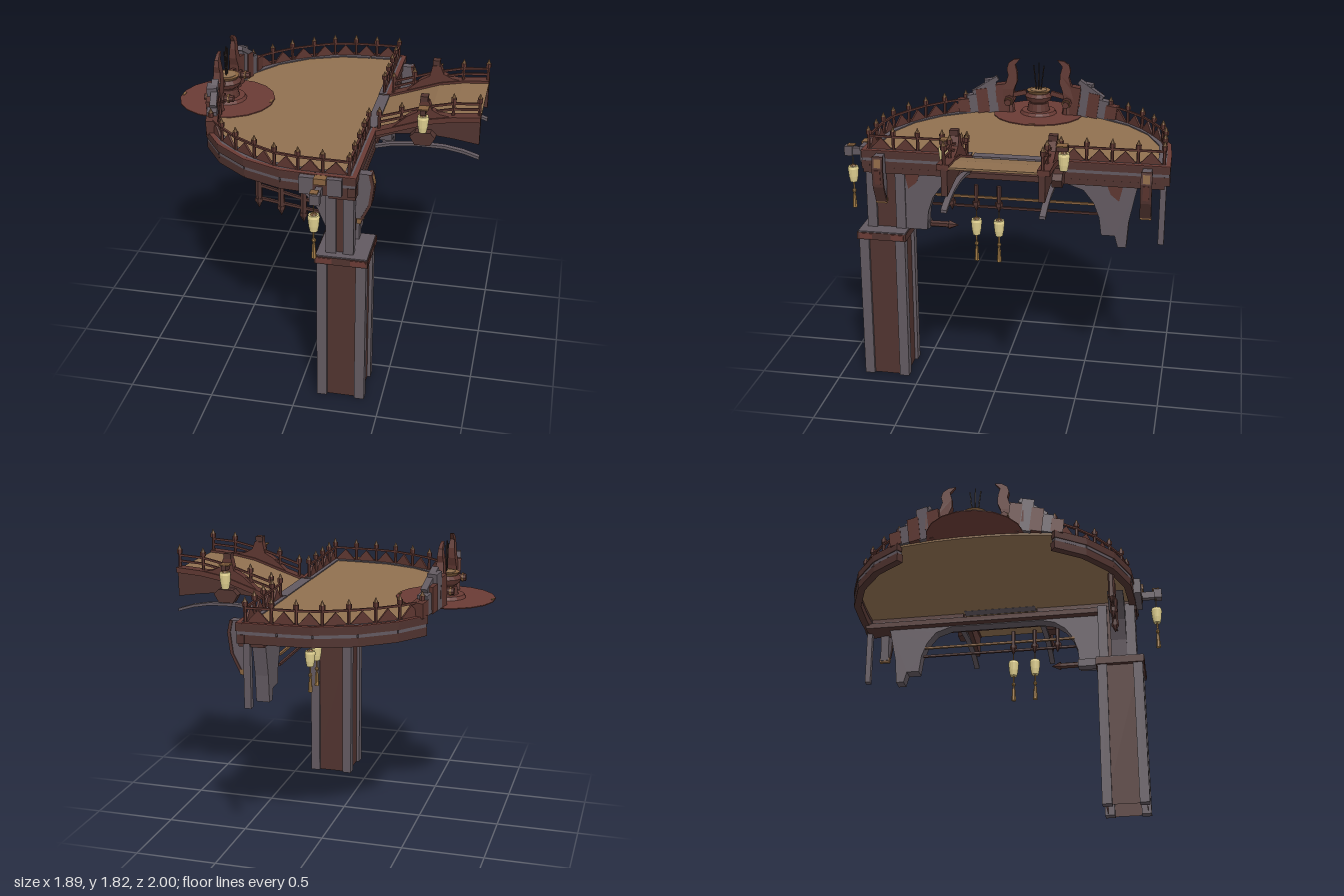
import * as THREE from 'three';

const mat = (name, color, side = THREE.FrontSide) => {
  const m = new THREE.MeshStandardMaterial({ color, flatShading: true, side });
  m.name = name;
  return m;
};
const wood = mat('deck wood', 0x907050);
const maroon = mat('maroon timber', 0x6a3b35);
const red = mat('red timber', 0x5d3630);
const dark = mat('dark timber', 0x50332f, THREE.DoubleSide);
const gray = mat('gray timber', 0x625960);
const copper = mat('aged copper', 0x87623f);
const cream = mat('lantern paper', 0xe2d291);
const tan = mat('tassel', 0xa07a45);
const black = mat('incense', 0x2e2422);

const CZ = -0.08; // mirror plane of deck and bridge
const V = (x, y, z) => new THREE.Vector3(x, y, z);

export function createModel() {
  const root = new THREE.Group();
  const add = (name, geo, m, parent = root) => {
    const mesh = new THREE.Mesh(geo, m);
    mesh.name = name;
    parent.add(mesh);
    return mesh;
  };
  // box from minimum to maximum corner
  const box = (name, m, x0, x1, y0, y1, z0, z1) =>
    add(name, new THREE.BoxGeometry(x1 - x0, y1 - y0, z1 - z0)
      .translate((x0 + x1) / 2, (y0 + y1) / 2, (z0 + z1) / 2), m);
  // straight bar between two points
  const bar = (name, m, a, b, w, h, extra = 0) => {
    const mesh = add(name, new THREE.BoxGeometry(w, h, a.distanceTo(b) + extra), m);
    mesh.position.copy(a).lerp(b, 0.5);
    mesh.lookAt(b);
    return mesh;
  };
  const cyl = (name, m, x, y0, y1, z, rb, rt, n = 8) =>
    add(name, new THREE.CylinderGeometry(rt, rb, y1 - y0, n).translate(x, (y0 + y1) / 2, z), m);
  const extrude = (pts, depth) => new THREE.ExtrudeGeometry(
    new THREE.Shape(pts.map(p => new THREE.Vector2(...p))), { depth, bevelEnabled: false });
  // profile in x,y swept along z
  const sideXY = (name, m, pts, z0, z1) => add(name, extrude(pts, z1 - z0).translate(0, 0, z0), m);
  // profile in z,y swept along x
  const sideZY = (name, m, pts, x0, x1) =>
    add(name, extrude(pts, x1 - x0).rotateY(-Math.PI / 2).translate(x1, 0, 0), m);

  // ---- main pillar and its upper column: hollow core with corner posts ----
  const column = (name, x0, x1, y0, y1, z0, z1, c) => {
    add(name + 'Core', new THREE.CylinderGeometry(Math.SQRT1_2, Math.SQRT1_2, 1, 4, 1, true)
      .rotateY(Math.PI / 4).scale(x1 - x0 - 0.04, y1 - y0, z1 - z0 - 0.04)
      .translate((x0 + x1) / 2, (y0 + y1) / 2, (z0 + z1) / 2), dark);
    for (const x of [x0, x1 - c]) for (const z of [z0, z1 - c])
      box(name + 'Corner', gray, x, x + c, y0, y1, z, z + c);
  };
  column('pillar', 0.115, 0.4, 0, 0.92, 0.57, 0.855, 0.06);
  box('pillarCap', dark, 0.105, 0.41, 0.92, 0.965, 0.56, 0.865);
  box('pillarCapTop', gray, 0.11, 0.405, 0.965, 0.972, 0.565, 0.86);
  for (const x of [0.115, 0.31]) box('capPatch', maroon, x, x + 0.09, 0.928, 0.96, 0.862, 0.868);
  for (const z of [0.575, 0.77]) box('capPatch', maroon, 0.407, 0.413, 0.928, 0.96, z, z + 0.08);
  column('upperColumn', 0.16, 0.32, 0.97, 1.36, 0.58, 0.82, 0.06);

  // ---- arch under the straight edge ----
  sideZY('archFrame', gray, [[0.6, 0.97], [0.45, 0.97], [0.44, 1.09], [0.41, 1.18], [0.36, 1.25], [0.29, 1.3],
    [0.2, 1.32], [-0.4, 1.32], [-0.5, 1.285], [-0.56, 1.21], [-0.595, 1.12], [-0.61, 1.01], [-0.69, 1.01],
    [-0.71, 0.94], [-0.76, 0.94], [-0.77, 1.1], [-0.81, 1.3], [-0.82, 1.34], [0.6, 1.34]], 0.23, 0.31);
  box('archBeam', dark, 0.18, 0.33, 1.325, 1.36, -0.97, 0.83);
  for (const [z, s] of [[0.58, -1], [-0.73, 1]])
    sideZY('archPatch', red, [[z, 1.32], [z + s * 0.09, 1.32], [z + s * 0.07, 1.27], [z + s * 0.02, 1.23]], 0.308, 0.315);
  sideXY('frontSpandrel', gray, [[-0.05, 1.35], [0.03, 1.3], [0.1, 1.22], [0.15, 1.1], [0.17, 0.97],
    [0.2, 0.97], [0.2, 1.35]], 0.66, 0.76);
  box('farPost', gray, 0.26, 0.3, 0.97, 1.36, -0.98, -0.945);

  // ---- curved outer brackets: gray web, dark outer skin, copper plates ----
  for (const z of [0.72, -0.87]) {
    const curve = [[0.4, 1.45], [0.415, 1.38], [0.4, 1.26], [0.345, 1.15]];
    sideXY('hornBracket', gray, [[0.3, 1.45], ...curve, [0.32, 1.15], [0.31, 1.3]], z - 0.027, z + 0.027);
    sideXY('bracketSkin', dark, [...curve.map(([x, y]) => [x - 0.012, y]),
      ...curve.map(([x, y]) => [x + 0.006, y]).reverse()], z - 0.033, z + 0.033);
    bar('bracketPlate', copper, V(0.4065, 1.435, z), V(0.418, 1.385, z), 0.04, 0.006);
    bar('bracketPlate', red, V(0.4195, 1.37, z), V(0.408, 1.28, z), 0.035, 0.008);
    box('bracketTip', copper, 0.325, 0.35, 1.14, 1.17, z - 0.034, z + 0.034);
  }

  // ---- deck ----
  const half = [[0.33, 0.92], [0.1, 0.915], [-0.1, 0.9], [-0.33, 0.81], [-0.52, 0.66], [-0.645, 0.48]];
  const inner = [...half.map(([x, u]) => [x * 0.96 - 0.005, u * 0.96]), [-0.655, 0.25], [-0.665, 0.1]];
  const outline = [...inner.map(([x, u]) => [x, CZ + u]), ...inner.slice().reverse().map(([x, u]) => [x, CZ - u])];
  add('deck', extrude(outline, 0.012).rotateX(Math.PI / 2).translate(0, 1.458, 0), wood);
  box('deckEdgeStrip', gray, 0.262, 0.33, 1.445, 1.464, CZ - 0.24, CZ + 0.24);

  // ---- railings ----
  const post = p => {
    cyl('railPost', red, p.x, p.y - 0.01, p.y + 0.1, p.z, 0.01, 0.01, 6);
    cyl('postCollar', red, p.x, p.y + 0.09, p.y + 0.115, p.z, 0.017, 0.017, 6);
    cyl('postFinial', copper, p.x, p.y + 0.115, p.y + 0.142, p.z, 0.013, 0.002, 6);
  };
  const railing = (pts, teeth) => pts.forEach((p, i) => {
    post(p);
    if (!i) return;
    const a = pts[i - 1], L = a.distanceTo(p);
    const rail = h => bar('rail', red, V(a.x, a.y + h, a.z), V(p.x, p.y + h, p.z), 0.014, 0.012);
    rail(0.08);
    if (!teeth) return rail(0.045);
    const t = add('railTooth', extrude([[-L * 0.45, 0], [L * 0.45, 0], [0, 0.072]], 0.012).translate(0, 0, -0.006), red);
    t.position.copy(a).lerp(p, 0.5);
    t.rotation.y = -Math.atan2(p.z - a.z, p.x - a.x);
  });
  // stacked fascia along an edge
  const fascia = (a, b) => {
    const dir = V(b[0] - a[0], 0, b[1] - a[1]).normalize();
    const n = V(-dir.z, 0, dir.x);
    if (n.dot(V(-0.1 - (a[0] + b[0]) / 2, 0, CZ - (a[1] + b[1]) / 2)) < 0) n.negate();
    const at = (p, y, d) => V(p[0], y, p[1]).addScaledVector(n, d);
    for (const [m, y, h, d, w] of [[dark, 1.441, 0.044, 0.02, 0.04], [maroon, 1.464, 0.006, 0.013, 0.026],
      [gray, 1.409, 0.02, 0.025, 0.04], [dark, 1.374, 0.052, 0.028, 0.045], [gray, 1.457, 0.016, 0.045, 0.06]])
      bar('edgeFascia', m, at(a, y, d), at(b, y, d), w, h, m === gray ? -0.01 : 0);
  };
  const railPts = [[0.29, 0.88], [0.14, 0.875], [0, 0.87], [-0.14, 0.845], [-0.27, 0.78], [-0.4, 0.7], [-0.51, 0.6], [-0.61, 0.48]];
  for (const s of [1, -1]) {
    const edge = half.map(([x, u]) => [x, CZ + s * u]);
    for (let i = 1; i < edge.length; i++) fascia(edge[i - 1], edge[i]);
    fascia([0.335, CZ + s * 0.92], [0.335, CZ + s * 0.25]);
    railing(railPts.map(([x, u]) => V(x, 1.463, CZ + s * u)), true);
    railing([0.28, 0.43, 0.58, 0.73, 0.88].map(u => V(0.29, 1.463, CZ + s * u)), true);
  }

  // ---- lantern with cap and optional tassel ----
  const lantern = (x, top, z, tassel) => {
    const g = new THREE.Group();
    g.name = 'lantern';
    add('lanternBody', new THREE.LatheGeometry([[0, -0.105], [0.022, -0.105], [0.029, -0.07], [0.034, -0.02],
      [0.03, -0.004], [0, -0.004]].map(p => new THREE.Vector2(...p)), 16), cream, g);
    add('lanternCap', new THREE.CylinderGeometry(0.012, 0.022, 0.012, 8), copper, g);
    if (tassel) {
      add('cord', new THREE.CylinderGeometry(0.006, 0.006, 0.09, 5).translate(0, -0.15, 0), tan, g);
      add('knot', new THREE.SphereGeometry(0.014, 6, 4).translate(0, -0.165, 0), tan, g);
      add('tasselSkirt', new THREE.CylinderGeometry(0.009, 0.015, 0.09, 6).translate(0, -0.232, 0), tan, g);
    }
    g.position.set(x, top, z);
    root.add(g);
  };
  box('frontBracketPlate', gray, 0.02, 0.26, 1.36, 1.462, 0.8, 0.87);
  box('frontBracketInset', dark, 0.1, 0.18, 1.365, 1.455, 0.865, 0.875);
  box('frontBracketKnob', copper, 0.105, 0.175, 1.43, 1.466, 0.83, 0.885);
  box('lanternArm', gray, 0.12, 0.155, 1.37, 1.415, 0.86, 0.99);
  box('lanternArmTip', gray, 0.11, 0.165, 1.365, 1.425, 0.95, 1);
  box('armTipPlate', copper, 0.105, 0.15, 1.424, 1.43, 0.94, 0.985);
  cyl('lanternCord', tan, 0.125, 1.29, 1.37, 0.96, 0.003, 0.003, 4);
  lantern(0.125, 1.292, 0.96, true);
  for (const z of [0.16, 0.02]) {
    lantern(0.23, 1.035, z, true);
    cyl('lanternCord', tan, 0.23, 1.03, 1.1, z, 0.003, 0.003, 4);
  }

  // ---- hanging spikes and tie bars ----
  const spike = (x, z, tip, top, r) => {
    cyl('hangingSpike', dark, x, tip + 0.06, top, z, r, r, 6);
    cyl('spikeCollar', dark, x, tip + 0.045, tip + 0.065, z, 0.024, 0.024, 6);
    cyl('spikeTip', dark, x, tip, tip + 0.045, z, 0.001, 0.022, 6);
  };
  [[-0.25, 1.15], [-0.12, 1.115], [0.01, 1.085]].forEach(([x, y]) => spike(x, 0.7, y, 1.36, 0.02));
  bar('slantTie', dark, V(-0.26, 1.3, 0.7), V(0.16, 1.2, 0.7), 0.016, 0.016);
  bar('slantTie', dark, V(-0.26, 1.215, 0.7), V(0.16, 1.155, 0.7), 0.016, 0.016);
  [0.31, 0.16, 0.02].forEach(z => spike(0.23, z, 1.08, 1.25, 0.014));
  box('archTie', copper, 0.222, 0.238, 1.167, 1.18, -0.57, 0.42);
  box('archTie', dark, 0.222, 0.238, 1.107, 1.12, -0.58, 0.43);
  box('sideStub', gray, 0.22, 0.28, 0.965, 1.015, 0.44, 0.57);
  const tip = add('sideSpike', new THREE.CylinderGeometry(0.02, 0.02, 0.12, 6).rotateX(Math.PI / 2), dark);
  tip.position.set(0.25, 0.99, 0.385);
  const point = add('sideSpikePoint', new THREE.ConeGeometry(0.03, 0.06, 6).rotateX(-Math.PI / 2), dark);
  point.position.set(0.25, 0.99, 0.295);

  // ---- rising bridge ----
  const rise = [[0.33, 1.455], [0.48, 1.505], [0.64, 1.56], [0.78, 1.585], [0.94, 1.597]];
  sideXY('bridgeDeck', wood, [...rise, ...rise.map(([x, y]) => [x, y - 0.012]).reverse()], CZ - 0.24, CZ + 0.24);
  for (const s of [1, -1]) {
    const band = (a, b) => [CZ + s * a, CZ + s * b].sort((p, q) => p - q);
    sideXY('bridgeSide', dark, [[0.33, 1.41], [0.45, 1.455], [0.62, 1.47], [0.78, 1.455], [0.94, 1.43],
      [0.94, 1.59], [0.78, 1.575], [0.64, 1.55], [0.48, 1.495], [0.33, 1.45]], ...band(0.25, 0.285));
    sideXY('bridgeRim', red, [...rise.map(([x, y]) => [x, y - 0.018]),
      ...rise.map(([x, y]) => [x, y + 0.014]).reverse()], ...band(0.24, 0.31));
    railing([[0.35, 1.468], [0.48, 1.51], [0.61, 1.553], [0.78, 1.59], [0.93, 1.6]]
      .map(([x, y]) => V(x, y, CZ + s * 0.27)), false);
    sideXY('bridgeCrest', red, [[0.43, 1.5], [0.52, 1.58], [0.575, 1.61], [0.59, 1.68], [0.64, 1.68],
      [0.66, 1.63], [0.71, 1.605], [0.81, 1.59], [0.64, 1.54]], ...band(0.25, 0.3));
    box('crestCap', dark, 0.59, 0.635, 1.68, 1.712, ...band(0.255, 0.305));
    box('crestArm', dark, 0.6, 0.63, 1.62, 1.65, ...band(0.28, 0.365));
    box('crestArmPlate', copper, 0.585, 0.645, 1.648, 1.655, ...band(0.3, 0.36));
    sideXY('lanternShelf', dark, [[0.54, 1.47], [0.57, 1.42], [0.66, 1.42], [0.69, 1.47], [0.66, 1.5],
      [0.57, 1.5]], ...band(0.28, 0.34));
    lantern(0.615, 1.612, CZ + s * 0.34, false);
    // thin bowed brace under the bridge
    const bow = [[0.33, 1.35], [0.42, 1.372], [0.58, 1.388], [0.74, 1.385], [0.85, 1.365], [0.945, 1.335]];
    sideXY('bowBrace', gray, [...bow, ...bow.map(([x, y]) => [x, y + 0.017]).reverse()], ...band(0.255, 0.29));
  }

  // ---- round shrine terrace with incense bowl ----
  const SX = -0.65;
  cyl('shrineDisc', maroon, SX, 1.459, 1.465, CZ, 0.295, 0.295, 18);
  for (const d of [-0.28, 0.28])
    box('discInlay', copper, SX + d - 0.008, SX + d + 0.008, 1.463, 1.468, CZ - 0.02, CZ + 0.02);
  cyl('shrineStep', maroon, SX, 1.465, 1.485, CZ, 0.12, 0.11, 16);
  cyl('shrinePlinth', red, SX, 1.485, 1.535, CZ, 0.075, 0.065, 16);
  add('incenseBowl', new THREE.LatheGeometry([[0, 1.53], [0.045, 1.53], [0.08, 1.555], [0.09, 1.58],
    [0.07, 1.6], [0, 1.6]].map(p => new THREE.Vector2(...p)), 16).translate(SX, 0, CZ), red);
  cyl('bowlRim', copper, SX, 1.6, 1.618, CZ, 0.065, 0.078, 16);
  cyl('bowlAsh', wood, SX, 1.61, 1.621, CZ, 0.055, 0.055, 16);
  for (const d of [-1, 0, 1])
    bar('incenseStick', black, V(SX, 1.61, CZ + d * 0.014), V(SX, d ? 1.78 : 1.8, CZ + d * 0.034), 0.007, 0.007);

  // ---- curling horned guardians either side of the shrine ----
  for (const s of [1, -1]) {
    const Z = u => CZ + s * u;
    const horn = sideZY('curvedHorn', red, [[0.122, 1.82], [0.165, 1.815], [0.2, 1.79], [0.21, 1.75], [0.2, 1.71],
      [0.215, 1.66], [0.25, 1.62], [0.3, 1.6], [0.3, 1.52], [0.17, 1.54], [0.16, 1.62], [0.14, 1.67], [0.142, 1.73], [0.155, 1.78]]
      .map(([u, y]) => [Z(u), y]), -0.03, 0.03);
    // taper the horn towards its tip
    const hp = horn.geometry.attributes.position;
    for (let i = 0; i < hp.count; i++) hp.setX(i, SX + hp.getX(i) * (1 - Math.max(0, hp.getY(i) - 1.6) * 3.2));
    const body = [[-0.655, 0.24, 0.19], [-0.645, 0.31, 0.22], [-0.63, 0.37, 0.16], [-0.615, 0.43, 0.12], [-0.6, 0.49, 0.09]];
    body.forEach(([x, u, h], i) => {
      const seg = add('guardianBody', new THREE.BoxGeometry(0.07 - (i % 2) * 0.01, h, 0.075), i % 2 ? gray : red);
      seg.position.set(x, 1.46 + h / 2, Z(u));
      seg.rotation.set(s * 0.12, s * 0.2, 0);
    });
    bar('guardianCrest', gray, V(-0.64, 1.69, Z(0.27)), V(-0.61, 1.59, Z(0.43)), 0.04, 0.03);
    bar('guardianFin', red, V(-0.65, 1.6, Z(0.08)), V(-0.65, 1.56, Z(0.24)), 0.025, 0.03);
    // horizontal cross arm with copper bands
    for (const [part, m, r, x0, x1] of [['crossArm', red, 0.022, -0.735, -0.555],
      ['crossHub', red, 0.034, -0.69, -0.61], ['crossBand', copper, 0.028, -0.72, -0.71], ['crossBand', copper, 0.028, -0.59, -0.58]])
      add(part, new THREE.CylinderGeometry(r, r, x1 - x0, 8).rotateZ(Math.PI / 2)
        .translate((x0 + x1) / 2, 1.545, Z(0.19)), m);
    cyl('crossStand', red, SX, 1.465, 1.53, Z(0.19), 0.035, 0.025, 8);
  }
  return root;
}
